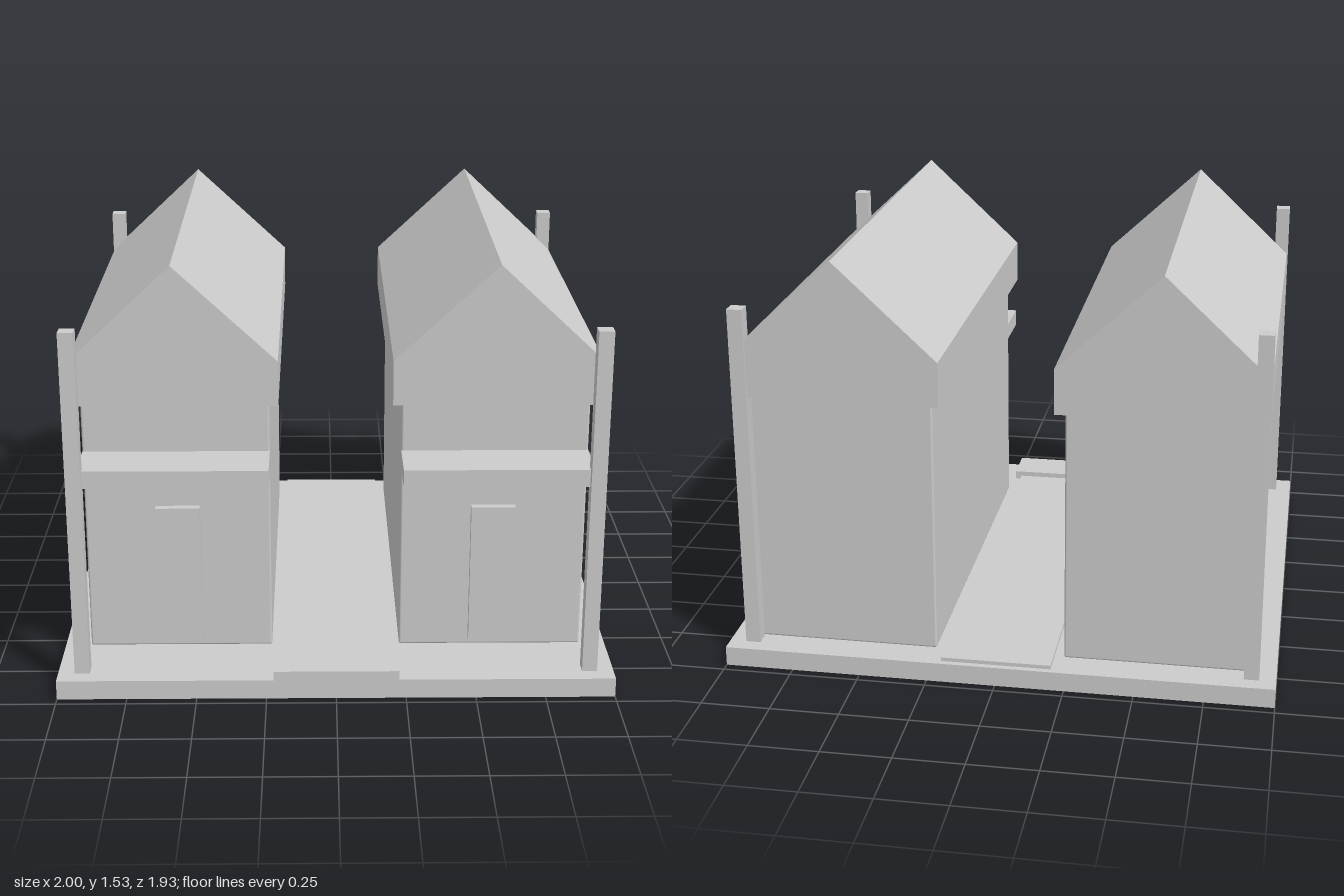
import * as THREE from 'three';
import { RoundedBoxGeometry } from 'three/addons/geometries/RoundedBoxGeometry.js';

const material = new THREE.MeshStandardMaterial({ color: 0xcccccc });

// Box given by its min/max extents on each axis
function block(name, [x0, x1], [y0, y1], [z0, z1], bevel = 0) {
  const w = x1 - x0, h = y1 - y0, d = z1 - z0;
  const geometry = bevel
    ? new RoundedBoxGeometry(w, h, d, 2, bevel)
    : new THREE.BoxGeometry(w, h, d);
  const mesh = new THREE.Mesh(geometry, material);
  mesh.name = name;
  mesh.position.set((x0 + x1) / 2, (y0 + y1) / 2, (z0 + z1) / 2);
  return mesh;
}

// Gabled roof: five-sided profile extruded from back to front
function gableRoof() {
  const half = 0.368, bottom = 1.026, eave = 1.19, ridge = 1.535;
  const profile = new THREE.Shape([
    new THREE.Vector2(-half, bottom),
    new THREE.Vector2(half, bottom),
    new THREE.Vector2(half, eave),
    new THREE.Vector2(0, ridge),
    new THREE.Vector2(-half, eave),
  ]);
  const geometry = new THREE.ExtrudeGeometry(profile, { depth: 1.625, bevelEnabled: false });
  const mesh = new THREE.Mesh(geometry, material);
  mesh.name = 'roof';
  mesh.position.z = -0.896;
  return mesh;
}

// One house, centred on its own x = 0; side is the direction of its outer wall
function house(name, side) {
  const group = new THREE.Group();
  group.name = name;
  group.position.x = side * 0.57;
  const half = 0.335, front = 0.683, back = -0.848;

  group.add(
    block('walls', [-half, half], [0.072, 1.028], [back, front], 0.008),
    gableRoof(),
    block('door', [-0.08, 0.08], [0.1, 0.63], [front - 0.02, 0.711]),
    block('canopy', [-half, half], [0.775, 0.84], [front - 0.01, 0.88]),
  );

  // Shallow window panels on the outer wall
  for (const z of [0.29, -0.15, -0.59]) {
    const pane = block('window', [-0.015, 0.015], [0.635, 0.86], [z - 0.13, z + 0.13]);
    pane.position.x = side * (half - 0.008);
    group.add(pane);
  }
  return group;
}

export function createModel() {
  const model = new THREE.Group();
  model.name = 'twinHouses';

  // Ground slab, path between the houses and front step
  model.add(
    block('base', [-1, 1], [0, 0.072], [-0.965, 0.965]),
    block('path', [-0.2, 0.2], [0.06, 0.086], [-0.943, 0.81]),
    block('frontStep', [-0.225, 0.225], [0.06, 0.106], [0.8, 0.965]),
  );

  model.add(house('leftHouse', 1), house('rightHouse', -1));

  // Corner posts
  for (const sx of [-1, 1]) {
    for (const sz of [-1, 1]) {
      const post = block('cornerPost', [-0.027, 0.027], [0.07, 1.35], [-0.027, 0.027]);
      post.position.x = sx * 0.913;
      post.position.z = sz * 0.88;
      model.add(post);
    }
  }
  return model;
}
